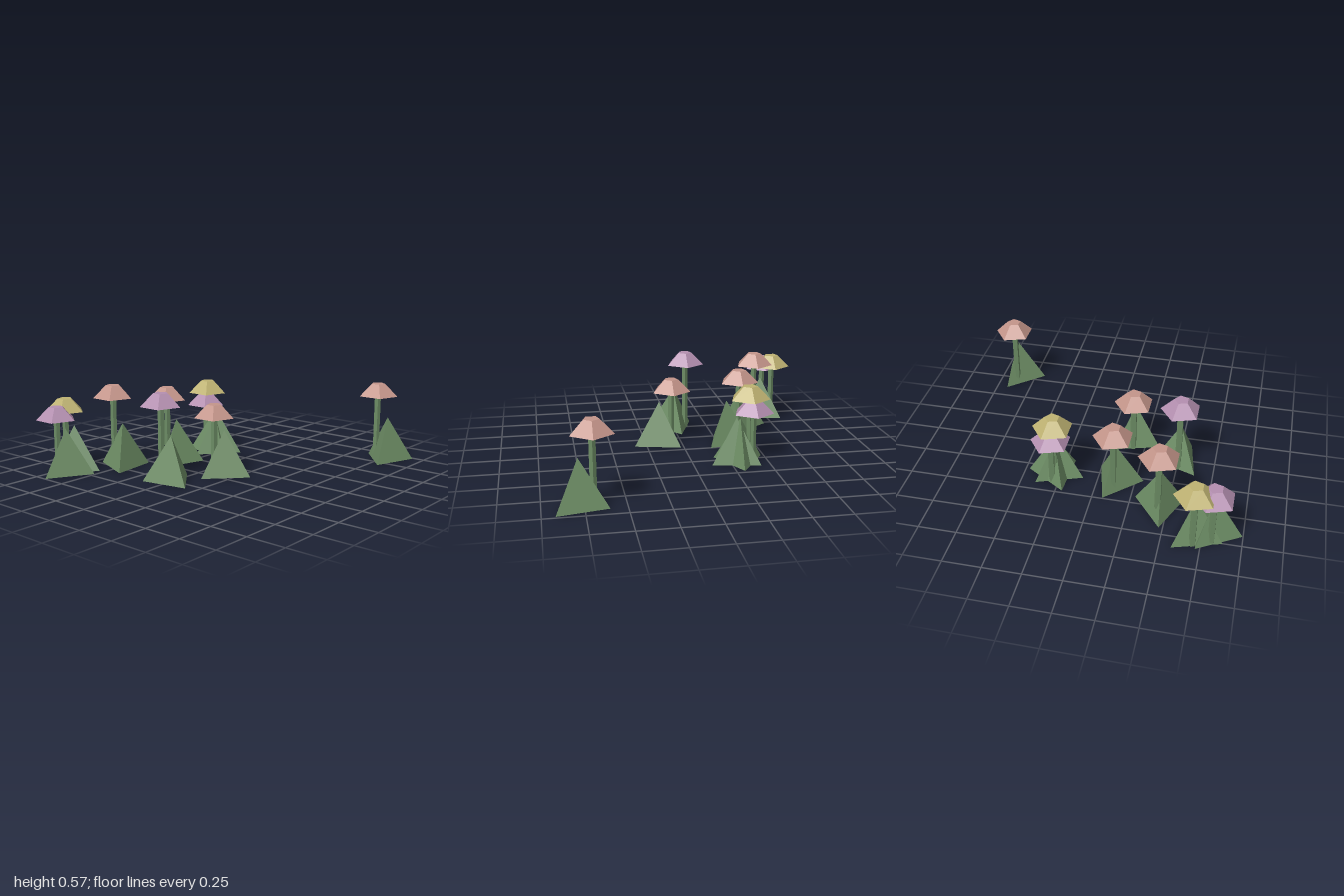
import * as THREE from 'three';

const flat = (name, color) => {
  const m = new THREE.MeshStandardMaterial({ color, flatShading: true });
  m.name = name;
  return m;
};

export function createModel() {
  const green = flat('leaf green', 0x6c8c64);
  const pink = flat('dusty pink', 0xc4958a);
  const purple = flat('soft purple', 0xb48fb0);
  const yellow = flat('straw yellow', 0xbeb272);

  const LEAF_H = 0.3, CAP_H = 0.085;
  // Pentagonal cap and stem with one corner pointing to the back
  const capGeo = new THREE.CylinderGeometry(0.05, 0.136, CAP_H, 5, 1, false, Math.PI);
  const stemGeo = new THREE.CylinderGeometry(0.022, 0.022, 1, 5, 1, false, Math.PI);
  // Three-sided leaf clump with one corner pointing along +x
  const leafGeo = new THREE.ConeGeometry(0.186, LEAF_H, 3, 1, false, Math.PI / 2);

  // x, z, total height, leaf turn in degrees (towards -z), cap colour
  const flowers = [
    [0.695, -0.862, 0.53, 41, pink],
    [-0.4, -0.29, 0.415, 87, purple],
    [-0.377, -0.28, 0.51, 20, yellow],
    [-0.4, 0.123, 0.515, 43.5, pink],
    [0.07, 0.17, 0.46, 16, pink],
    [-0.592, 0.45, 0.552, 67.5, pink],
    [-0.088, 0.508, 0.566, 100, purple],
    [-0.797, 0.7, 0.472, 17.5, yellow],
    [-0.753, 0.811, 0.437, 31, purple],
  ];

  const group = new THREE.Group();
  group.name = 'flowerPatch';
  for (const [x, z, top, turn, colour] of flowers) {
    const flower = new THREE.Group();
    flower.name = 'flower';
    flower.position.set(x, 0, z);

    const add = (name, geo, mat, px, py) => {
      const mesh = new THREE.Mesh(geo, mat);
      mesh.name = name;
      mesh.position.set(px, py, 0);
      flower.add(mesh);
      return mesh;
    };

    const stemH = top - CAP_H / 2;
    add('stem', stemGeo, green, 0, stemH / 2).scale.y = stemH;
    add('cap', capGeo, colour, 0, top - CAP_H / 2);
    // Leaf clump beside the stem
    add('leaf', leafGeo, green, 0.085, LEAF_H / 2).rotation.y = THREE.MathUtils.degToRad(turn);
    group.add(flower);
  }
  return group;
}
